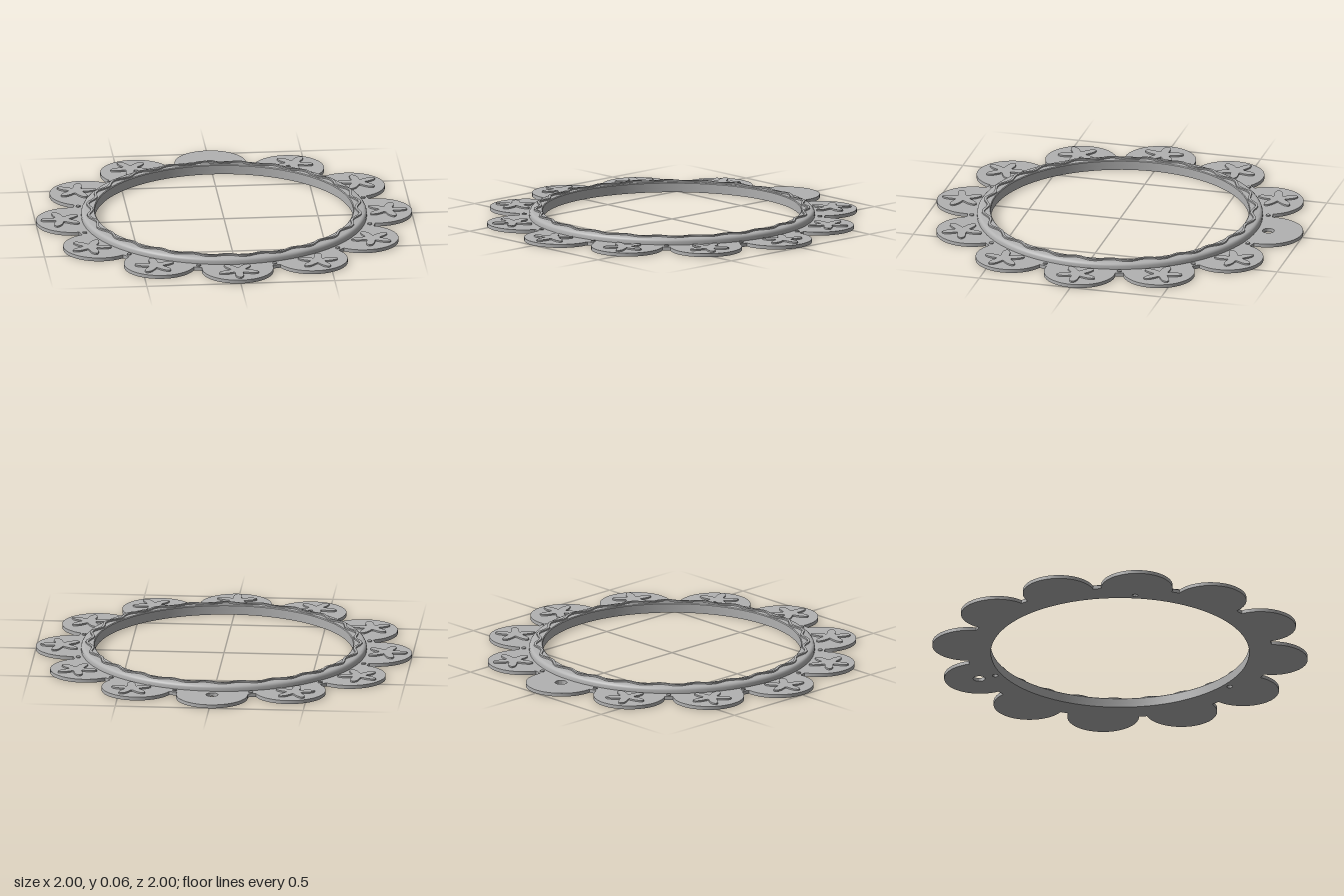
import * as THREE from 'three';
import { toCreasedNormals } from 'three/addons/utils/BufferGeometryUtils.js';

const PETALS = 12;
const PETAL_CENTRE = 0.81, PETAL_RADIUS = 0.19;
const PLATE_TOP = 0.019, RING_TOP = 0.053;
const INNER = 0.685, OUTER = 0.757;

// Closed list of points from a polar radius function
function polar(radius, count) {
  const points = [];
  for (let i = 0; i < count; i++) {
    const a = (i / count) * Math.PI * 2, r = radius(a);
    points.push(new THREE.Vector2(r * Math.cos(a), r * Math.sin(a)));
  }
  return points;
}

// Flat slab standing on height y
function slab(shape, y, depth, curveSegments = 32) {
  const geometry = new THREE.ExtrudeGeometry(shape, { depth, bevelEnabled: false, curveSegments });
  geometry.rotateX(-Math.PI / 2).translate(0, y, 0);
  return toCreasedNormals(geometry, 0.6);
}

function circleHole(angle, distance, radius) {
  return new THREE.Path().absarc(distance * Math.cos(angle), distance * Math.sin(angle), radius, 0, Math.PI * 2, true);
}

export function createModel() {
  const model = new THREE.Group();
  model.name = 'flowerFrame';
  const grey = new THREE.MeshStandardMaterial({ color: 0xb2b2b2 });
  grey.name = 'grey';
  const add = (geometry, name) => {
    const mesh = new THREE.Mesh(geometry, grey);
    mesh.name = name;
    model.add(mesh);
    return mesh;
  };

  // Scalloped plate with the opening, hanging hole and three small underside holes
  const plate = new THREE.Shape();
  const sweep = Math.PI / 2 + Math.asin(PETAL_RADIUS / 2 / PETAL_CENTRE);
  for (let i = 0; i < PETALS; i++) {
    const a = (i / PETALS) * Math.PI * 2;
    plate.absarc(PETAL_CENTRE * Math.cos(a), PETAL_CENTRE * Math.sin(a), PETAL_RADIUS, a - sweep, a + sweep, false);
  }
  plate.closePath();
  plate.holes.push(new THREE.Path(polar(() => INNER, 128)));
  plate.holes.push(circleHole(Math.PI / 2, 0.815, 0.032));
  for (let i = 0; i < 3; i++) {
    plate.holes.push(circleHole(Math.PI / 2 + (i * Math.PI * 2) / 3, 0.722, 0.015));
  }
  add(slab(plate, 0, PLATE_TOP), 'petalPlate');

  // Raised ring with a rounded outer shoulder
  const profile = [
    [INNER, PLATE_TOP], [OUTER, PLATE_TOP], [OUTER, 0.036], [0.754, 0.044],
    [0.748, 0.05], [0.739, RING_TOP], [INNER + 0.004, RING_TOP], [INNER, RING_TOP - 0.004], [INNER, PLATE_TOP],
  ].map(([r, y]) => new THREE.Vector2(r, y));
  add(toCreasedNormals(new THREE.LatheGeometry(profile, 128), 0.6), 'raisedRing');

  // Wavy band on top of the ring
  const wave = (offset) => (a) => 0.713 + offset + 0.013 * Math.sin(24 * a);
  const band = new THREE.Shape(polar(wave(0.007), 384));
  band.holes.push(new THREE.Path(polar(wave(-0.007), 384)));
  add(slab(band, RING_TOP, 0.008), 'wavyBand');

  // Rounded star on every petal except the one with the hanging hole
  const star = slab(new THREE.Shape(polar(
    (a) => 0.04 + 0.07 * Math.pow((1 + Math.cos(5 * a)) / 2, 1.2), 100)), 0, 0.008);
  // Small studs in the gaps between petals
  const stud = new THREE.CylinderGeometry(0.012, 0.012, 0.006, 16);
  for (let i = 0; i < PETALS; i++) {
    const a = (i / PETALS) * Math.PI * 2;
    if (i !== 3) {
      const mesh = add(star, 'petalStar');
      mesh.position.set(0.865 * Math.cos(a), PLATE_TOP, -0.865 * Math.sin(a));
      mesh.rotation.y = a;
    }
    const gap = a + Math.PI / PETALS;
    add(stud, 'gapStud').position.set(0.785 * Math.cos(gap), PLATE_TOP + 0.003, -0.785 * Math.sin(gap));
  }
  return model;
}
